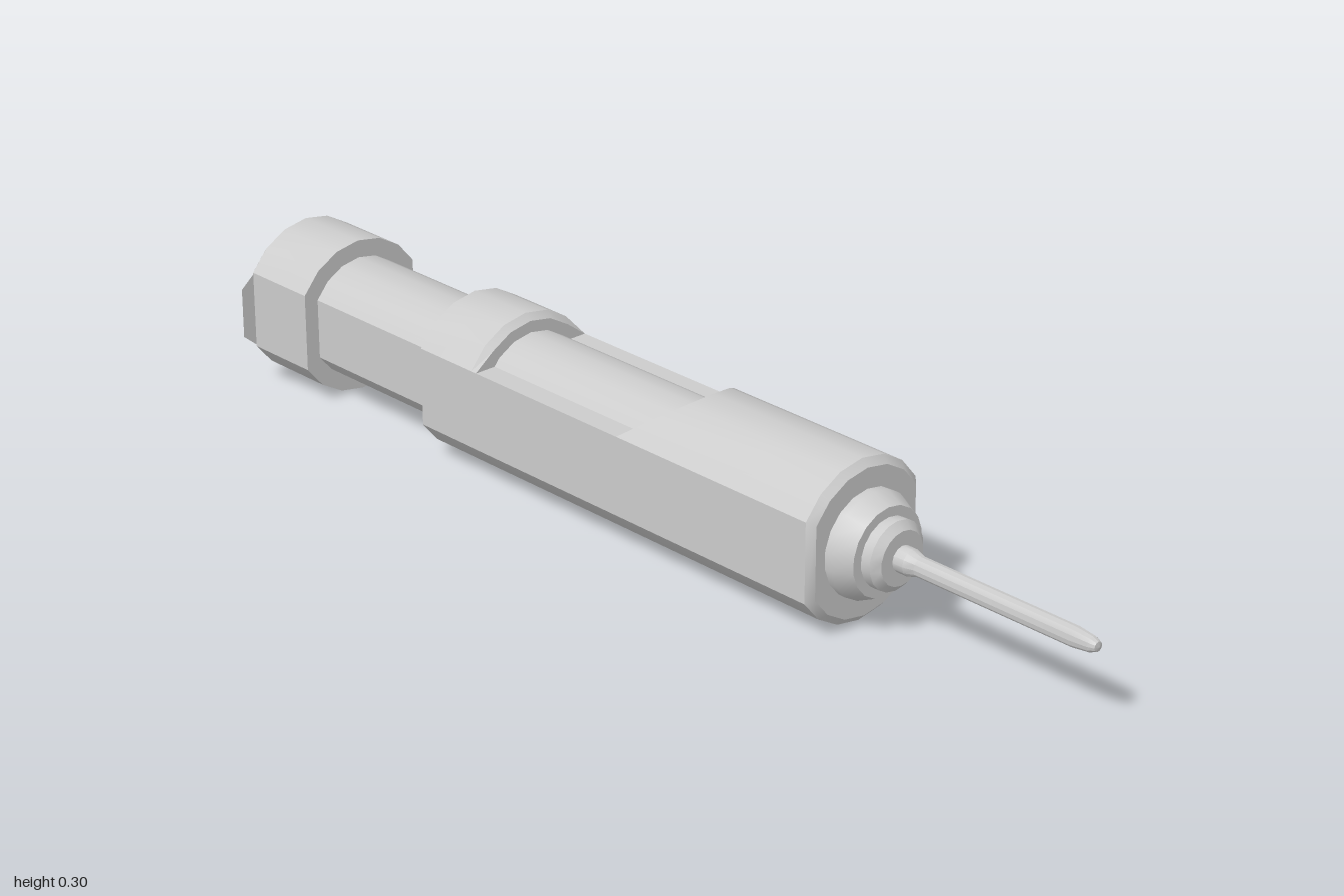
import * as THREE from 'three';
import { toCreasedNormals } from 'three/addons/utils/BufferGeometryUtils.js';

const AXIS_Y = 0.15; // height of the long axis
const R = 0.15;
const FLAT_Y = R / 2; // where the side flats meet the round top and bottom
const CREASE = THREE.MathUtils.degToRad(32);
const material = new THREE.MeshStandardMaterial({ color: 0xcccccc, roughness: 0.7 });

function addMesh(parent, name, geometry) {
  const mesh = new THREE.Mesh(toCreasedNormals(geometry, CREASE), material);
  mesh.name = name;
  parent.add(mesh);
  return mesh;
}

// Ring of an 18-sided circle with both sides cut flat; shape() may move each point.
function ring(radius, z, shape) {
  const points = [];
  for (const start of [-60, 120]) {
    for (let k = 0; k <= 6; k++) {
      const a = THREE.MathUtils.degToRad(start + 20 * k);
      const p = new THREE.Vector3(radius * Math.sin(a), radius * Math.cos(a), z);
      if (shape) shape(p);
      points.push(p);
    }
  }
  return points;
}

// Closed skin over rings listed from front to back
function loft(rings) {
  const positions = [];
  const tri = (a, b, c) => {
    if (new THREE.Triangle(a, b, c).getArea() < 1e-8) return;
    for (const p of [a, b, c]) positions.push(p.x, p.y, p.z);
  };
  const n = rings[0].length;
  for (let i = 0; i < rings.length - 1; i++) {
    for (let j = 0; j < n; j++) {
      const k = (j + 1) % n;
      const f = rings[i], b = rings[i + 1];
      tri(f[j], f[k], b[j]);
      tri(f[k], b[k], b[j]);
    }
  }
  const first = rings[0], last = rings[rings.length - 1];
  for (let j = 1; j < n - 1; j++) {
    tri(first[0], first[j + 1], first[j]);
    tri(last[0], last[j], last[j + 1]);
  }
  const geometry = new THREE.BufferGeometry();
  geometry.setAttribute('position', new THREE.Float32BufferAttribute(positions, 3));
  return geometry;
}

// Turned part along +z from [radius, z] pairs
function turned(profile, sides) {
  const geometry = new THREE.LatheGeometry(profile.map(([r, z]) => new THREE.Vector2(r, z)), sides);
  return geometry.rotateX(Math.PI / 2);
}

export function createModel() {
  const model = new THREE.Group();
  model.name = 'penTool';
  const core = new THREE.Group();
  core.name = 'core';
  core.position.y = AXIS_Y;
  model.add(core);

  // Body with a window cut in the top: sloped at the front, upright at the collar
  const clampTop = (p) => { p.y = Math.min(p.y, FLAT_Y); };
  const slope = (p) => { p.z += Math.max(0, p.y - FLAT_Y) * 1.4; };
  const insetTop = (p) => {
    if (p.y > FLAT_Y + 1e-4) { p.x *= 0.92; p.y *= 0.92; }
  };
  addMesh(core, 'body', loft([
    ring(R * 0.91, 0.49),
    ring(R, 0.477),
    ring(R, 0.02, slope),
    ring(R, 0.02, clampTop),
    ring(R, -0.345, clampTop),
    ring(R, -0.345, insetTop),
    ring(R, -0.358),
    ring(R, -0.497),
    ring(R * 0.91, -0.51),
  ]));

  // Plunger, showing in the window and behind the body
  addMesh(core, 'plunger', loft([ring(0.116, 0.2), ring(0.116, -0.9)]));

  // End cap with a bevelled back
  addMesh(core, 'endCap', loft([
    ring(R, -0.83),
    ring(R, -0.985),
    ring(R * 0.91, -1),
  ]));

  // Tapered ears on the cap sides
  for (const side of [-1, 1]) {
    const rect = (x, h, back, front) => [
      [h, back], [h, front], [-h, front], [-h, back],
    ].map(([y, z]) => new THREE.Vector3(y, z, x));
    const ear = loft([rect(0.158, 0.048, -0.985, -0.945), rect(0.12, 0.08, -0.985, -0.912)]);
    // Loft axes (y, z, x) cycle back to (x, y, z)
    ear.applyMatrix4(new THREE.Matrix4().set(0, 0, 1, 0, 1, 0, 0, 0, 0, 1, 0, 0, 0, 0, 0, 1));
    if (side < 0) ear.rotateZ(Math.PI);
    addMesh(core, side > 0 ? 'leftEar' : 'rightEar', ear);
  }

  // Stepped nose
  addMesh(core, 'nose', turned([
    [0.098, 0.48], [0.098, 0.505], [0.082, 0.54], [0.064, 0.54],
    [0.064, 0.56], [0.05, 0.573], [0, 0.573],
  ], 18));

  // Needle with a thicker root and a rounded tip
  addMesh(core, 'needle', turned([
    [0.024, 0.565], [0.024, 0.595], [0.018, 0.615], [0.018, 0.95],
    [0.014, 0.985], [0.009, 0.997], [0, 1],
  ], 12));

  return model;
}
